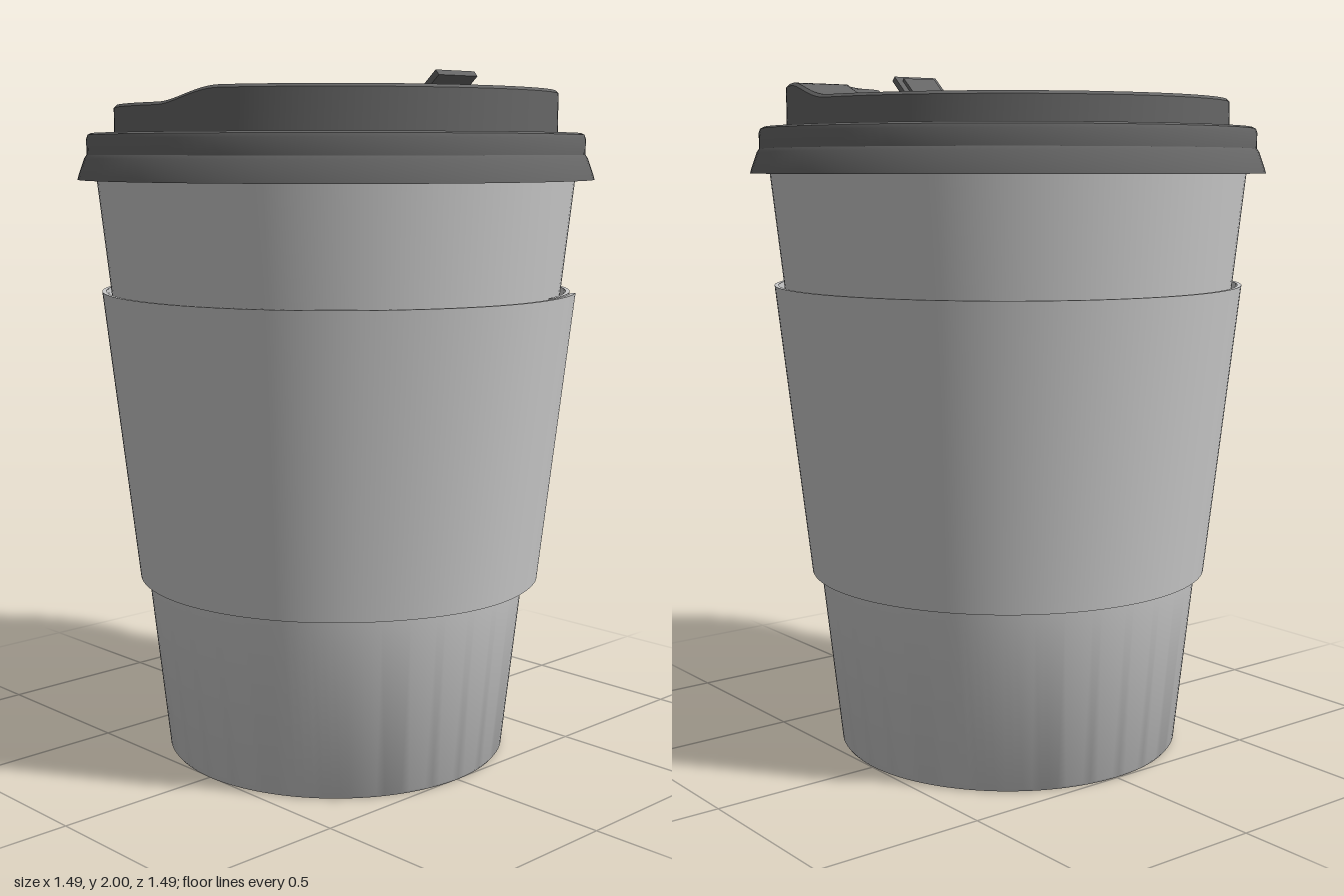
import * as THREE from 'three';
import { toCreasedNormals } from 'three/addons/utils/BufferGeometryUtils.js';

const paper = new THREE.MeshStandardMaterial({ color: 0xcccccc, side: THREE.DoubleSide });
const plastic = new THREE.MeshStandardMaterial({ color: 0x666666, side: THREE.DoubleSide });
const { smoothstep, lerp, degToRad } = THREE.MathUtils;

function mesh(name, geometry, material, x = 0, y = 0, z = 0) {
  const m = new THREE.Mesh(geometry, material);
  m.name = name;
  m.position.set(x, y, z);
  return m;
}

// Revolved profile of [radius, y] points with crisp edges.
function lathe(points, segments = 128) {
  const g = new THREE.LatheGeometry(points.map(p => new THREE.Vector2(...p)), segments);
  return toCreasedNormals(g, 0.6);
}

// Surface grid; at(i, j) gives [x, y, z] for column i and row j.
function grid(nu, nv, at) {
  const pos = [], idx = [];
  for (let i = 0; i <= nu; i++) for (let j = 0; j <= nv; j++) pos.push(...at(i, j));
  for (let i = 0; i < nu; i++) for (let j = 0; j < nv; j++) {
    const a = i * (nv + 1) + j, c = a + nv + 1;
    idx.push(a, a + 1, c, a + 1, c + 1, c);
  }
  const g = new THREE.BufferGeometry();
  g.setAttribute('position', new THREE.Float32BufferAttribute(pos, 3));
  g.setIndex(idx);
  return toCreasedNormals(g, 0.6);
}

// Soft-edged rectangle mask, 1 inside and 0 outside.
function rect(x, z, x0, x1, halfZ, soft = 0.012) {
  return smoothstep(x, x0 - soft, x0 + soft) * (1 - smoothstep(x, x1 - soft, x1 + soft))
    * (1 - smoothstep(Math.abs(z), halfZ - soft, halfZ + soft));
}

// Height of the lid top: sunken disc, raised drinking side, tab slot and pocket.
function lidHeight(x, z) {
  const rim = 1.91 + 0.04 * smoothstep(x, -0.02, 0.2);
  let y = lerp(1.9, rim, smoothstep(Math.hypot(x + 0.06, z), 0.46, 0.5));
  y = lerp(y, 1.885, rect(x, z, 0.225, 0.36, 0.078));
  const halfZ = 0.16 + 0.3 * Math.max(0, x - 0.38);
  return lerp(y, 1.885, rect(x, z, 0.37, 0.57, halfZ));
}

// Raised wall and top of the lid as one polar surface.
function lidTop() {
  const R = 0.64, rings = 72, turns = 192;
  return grid(turns, rings + 2, (i, j) => {
    const a = (i % turns) / turns * Math.PI * 2, c = Math.cos(a), s = Math.sin(a);
    if (j === 0) return [R * c, 1.81, R * s];
    if (j === 1) return [R * c, lidHeight(R * c, R * s) - 0.008, R * s];
    const r = (R - 0.008) * (1 - (j - 2) / rings);
    return [r * c, lidHeight(r * c, r * s), r * s];
  });
}

// Wrapped sleeve whose outer end overlaps its inner end.
function sleeve() {
  const turns = 180, y0 = 0.53, y1 = 1.38, t = 0.012;
  const profile = [[0.588, y0], [0.684, y1], [0.684 - t, y1], [0.588 - t, y0], [0.588, y0]];
  return grid(turns, 4, (i, j) => {
    const k = THREE.MathUtils.clamp(i - 1, 0, turns - 2) / (turns - 2);
    const deg = lerp(-33.5, 343, k), a = degToRad(deg);
    const lift = 0.019 * (1 - smoothstep(deg, -8, 38));
    // The first and last columns close the thin ends.
    let [r, y] = profile[j];
    if ((i === 0 || i === turns) && j > 1 && j < 4) [r, y] = profile[j === 2 ? 1 : 0];
    return [(r + lift) * Math.cos(a), y, (r + lift) * Math.sin(a)];
  });
}

export function createModel() {
  const model = new THREE.Group();

  // Tapered paper cup with a recessed base and open inside
  model.add(mesh('cup', lathe([
    [0, 0.06], [0.475, 0.06], [0.468, 0.004], [0.474, 0], [0.5, 0], [0.506, 0.008],
    [0.563, 0.53], [0.657, 1.38], [0.692, 1.7], [0.7, 1.78], [0.69, 1.78],
    [0.682, 1.7], [0.496, 0.07], [0, 0.07],
  ]), paper, 0.003, 0, 0.003));

  model.add(mesh('sleeve', sleeve(), paper));

  // Lid: flared skirt and snap ring, then the raised top
  const lid = new THREE.Group();
  lid.name = 'lid';
  lid.add(mesh('lidSkirt', lathe([
    [0.66, 1.805], [0.705, 1.8], [0.71, 1.77], [0.735, 1.7], [0.747, 1.7], [0.744, 1.712],
    [0.727, 1.76], [0.72, 1.77], [0.72, 1.815], [0.716, 1.826], [0.706, 1.831],
    [0.678, 1.831], [0.667, 1.825], [0.662, 1.812], [0.64, 1.812],
  ]), plastic));
  lid.add(mesh('lidTop', lidTop(), plastic));

  // Drinking opening and vent, showing the pale cup beneath
  const opening = mesh('drinkOpening', new THREE.PlaneGeometry(0.14, 0.155), paper, 0.45, 1.888, -0.007);
  opening.rotation.x = -Math.PI / 2;
  const vent = mesh('ventHole', new THREE.CircleGeometry(0.011, 16), paper, -0.06, 1.902, 0);
  vent.rotation.x = -Math.PI / 2;
  lid.add(opening, vent);

  // Lifted tab with a stepped plug, hinged beside the opening
  const tab = new THREE.Group();
  tab.name = 'tab';
  tab.position.set(0.362, 1.9, -0.007);
  tab.rotation.z = degToRad(41);
  tab.add(mesh('tabPlate', new THREE.BoxGeometry(0.135, 0.018, 0.155), plastic, 0.0675, 0, 0));
  tab.add(mesh('tabPlug', new THREE.BoxGeometry(0.09, 0.012, 0.115), plastic, 0.07, 0.013, 0));
  lid.add(tab);
  for (const side of [-1, 1]) {
    lid.add(mesh('hingeRib', new THREE.BoxGeometry(0.03, 0.035, 0.055), plastic, 0.38, 1.9, side * 0.115));
  }

  model.add(lid);
  return model;
}
